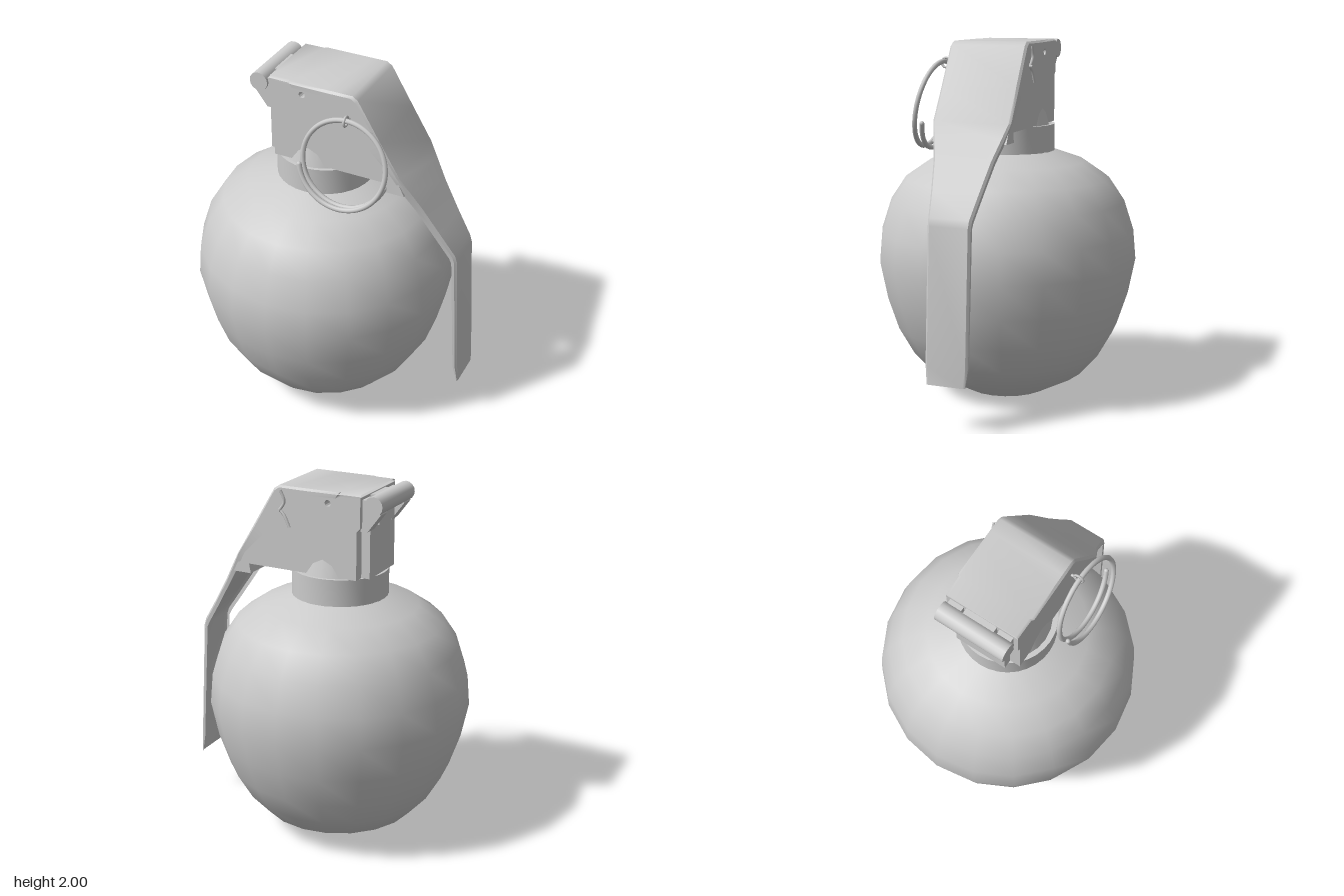
import * as THREE from 'three';
import { toCreasedNormals } from 'three/addons/utils/BufferGeometryUtils.js';

const CX = -0.078; // axis of the round body
const grey = new THREE.MeshStandardMaterial({ color: 0xcccccc });
const thin = new THREE.MeshStandardMaterial({ color: 0xcccccc, side: THREE.DoubleSide });
const V = (x, y, z) => new THREE.Vector3(x, y, z);

function add(group, name, geometry, x = 0, y = 0, z = 0, material = grey) {
  const mesh = new THREE.Mesh(geometry, material);
  mesh.name = name;
  mesh.position.set(x, y, z);
  group.add(mesh);
  return mesh;
}

const lathe = (points, sides) =>
  new THREE.LatheGeometry(points.map(([r, y]) => new THREE.Vector2(r, y)), sides);

// Side outline extruded along z, centred on z = 0
function slab(points, width, hole) {
  const shape = new THREE.Shape(points.map(([x, y]) => new THREE.Vector2(x, y)));
  if (hole) shape.holes.push(new THREE.Path().absarc(hole[0], hole[1], hole[2], 0, Math.PI * 2, true));
  return new THREE.ExtrudeGeometry(shape, { depth: width, bevelEnabled: false, curveSegments: 6 })
    .translate(0, 0, -width / 2);
}

// Open surface through a row of equal-length cross-sections
function loft(sections) {
  const n = sections[0].length, index = [];
  for (let i = 0; i < sections.length - 1; i++)
    for (let j = 0; j < n - 1; j++) {
      const a = i * n + j, b = a + n;
      index.push(a, a + 1, b, a + 1, b + 1, b);
    }
  const g = new THREE.BufferGeometry().setFromPoints(sections.flat());
  g.setIndex(index);
  g.computeVertexNormals();
  return toCreasedNormals(g, 0.7);
}

const wire = (points, radius) =>
  new THREE.TubeGeometry(new THREE.CatmullRomCurve3(points), points.length * 5, radius, 6);

export function createModel() {
  const model = new THREE.Group();

  // Round body with its flat foot
  add(model, 'body', lathe([
    [0.235, 0], [0.445, 0.11], [0.55, 0.23], [0.635, 0.38], [0.695, 0.56], [0.735, 0.76],
    [0.72, 0.93], [0.665, 1.1], [0.578, 1.23], [0.44, 1.325], [0.262, 1.388],
  ], 20), CX);
  add(model, 'foot', new THREE.CircleGeometry(0.235, 20).rotateX(Math.PI / 2), CX);

  // Neck collar and the conical shoulder on it
  add(model, 'collar', toCreasedNormals(lathe([
    [0.268, 1.36], [0.268, 1.535], [0.25, 1.535], [0.25, 1.515], [0, 1.515],
  ], 32), 0.6), CX);
  add(model, 'shoulder', new THREE.CylinderGeometry(0.195, 0.238, 0.16, 24), CX, 1.6);

  // Fuse housing with its through hole
  add(model, 'fuseHousing', slab([
    [-0.28, 1.535], [0.38, 1.535], [0.37, 1.48], [0.48, 1.48], [0.435, 1.57],
    [0.18, 1.97], [-0.16, 1.985], [-0.3, 1.985], [-0.3, 1.82], [-0.28, 1.8],
  ], 0.42, [-0.11, 1.935, 0.018]));
  add(model, 'rearRib', slab([[-0.33, 1.535], [-0.27, 1.535], [-0.27, 1.84], [-0.33, 1.84]], 0.3));
  for (const s of [-1, 1])
    add(model, 'hingeEar', slab([
      [-0.33, 1.8], [-0.29, 1.8], [-0.29, 1.97], [-0.37, 1.97], [-0.405, 1.9],
    ], 0.08), 0, 0, s * 0.145);
  add(model, 'hingeStop', new THREE.BoxGeometry(0.06, 0.16, 0.18), -0.325, 1.9);

  // Hinge pin
  add(model, 'hingePin', toCreasedNormals(
    new THREE.CylinderGeometry(0.052, 0.052, 0.4, 16).rotateX(Math.PI / 2), 0.6), -0.37, 1.945);

  // Lever: top edge x, y; flange edge x, y; half width
  const lever = [
    [-0.3, 2, -0.3, 1.98, 0.21], [-0.185, 2, -0.185, 1.98, 0.212], [-0.18, 2, -0.16, 1.97, 0.222],
    [0.02, 2, 0.01, 1.965, 0.222], [0.1, 2, 0.07, 1.925, 0.222], [0.18, 2, 0.12, 1.89, 0.222],
    [0.21, 1.98, 0.14, 1.86, 0.222], [0.34, 1.765, 0.28, 1.72, 0.222], [0.45, 1.585, 0.4, 1.6, 0.222],
    [0.5, 1.505, 0.465, 1.49, 0.2], [0.565, 1.4, 0.535, 1.385, 0.17], [0.66, 1.25, 0.63, 1.235, 0.143],
    [0.745, 1.12, 0.715, 1.105, 0.122], [0.758, 1.08, 0.73, 1.075, 0.12],
    [0.803, 0.35, 0.778, 0.36, 0.12], [0.81, 0.25, 0.803, 0.25, 0.108],
  ];
  add(model, 'lever', loft(lever.map(([x, y, fx, fy, w]) => {
    const edge = V(fx - x, fy - y, 0);
    edge.setLength(Math.min(0.012, edge.length() * 0.5));
    const half = (s) => [V(fx, fy, s * w), V(x + edge.x, y + edge.y, s * w), V(x, y, s * (w - 0.012))];
    return [...half(-1), ...half(1).reverse()];
  })), 0, 0, 0, thin);

  // Safety pin: eye in front, shank through the housing, splayed ends behind
  add(model, 'safetyPin', wire([V(0.17, 1.87, -0.24), V(0.17, 1.87, 0), V(0.17, 1.875, 0.25)], 0.008));
  add(model, 'pinEye', new THREE.TorusGeometry(0.026, 0.007, 6, 16).rotateY(Math.PI / 2), 0.17, 1.88, 0.265);
  add(model, 'pinEndUp', wire([V(0.17, 1.87, -0.225), V(0.14, 1.92, -0.23), V(0.16, 1.98, -0.235)], 0.008));
  add(model, 'pinEndDown', wire([V(0.17, 1.87, -0.225), V(0.14, 1.84, -0.228), V(0.11, 1.78, -0.23)], 0.008));

  // Split pull ring, coiled and hanging at a slant
  const coil = [];
  for (let i = 0; i <= 50; i++) {
    const t = i / 50, a = (190 + 510 * t) * Math.PI / 180;
    coil.push(V(0.24 * Math.cos(a), 0.24 * Math.sin(a), 0.032 - 0.062 * t));
  }
  const ring = add(model, 'pullRing',
    new THREE.TubeGeometry(new THREE.CatmullRomCurve3(coil), 110, 0.014, 8), 0.183, 1.652, 0.318);
  ring.rotation.x = -0.19;
  for (const end of [coil[0], coil[50]]) {
    const cap = new THREE.Mesh(new THREE.SphereGeometry(0.014, 8, 6), grey);
    cap.name = 'ringEnd';
    cap.position.copy(end);
    ring.add(cap);
  }
  return model;
}
